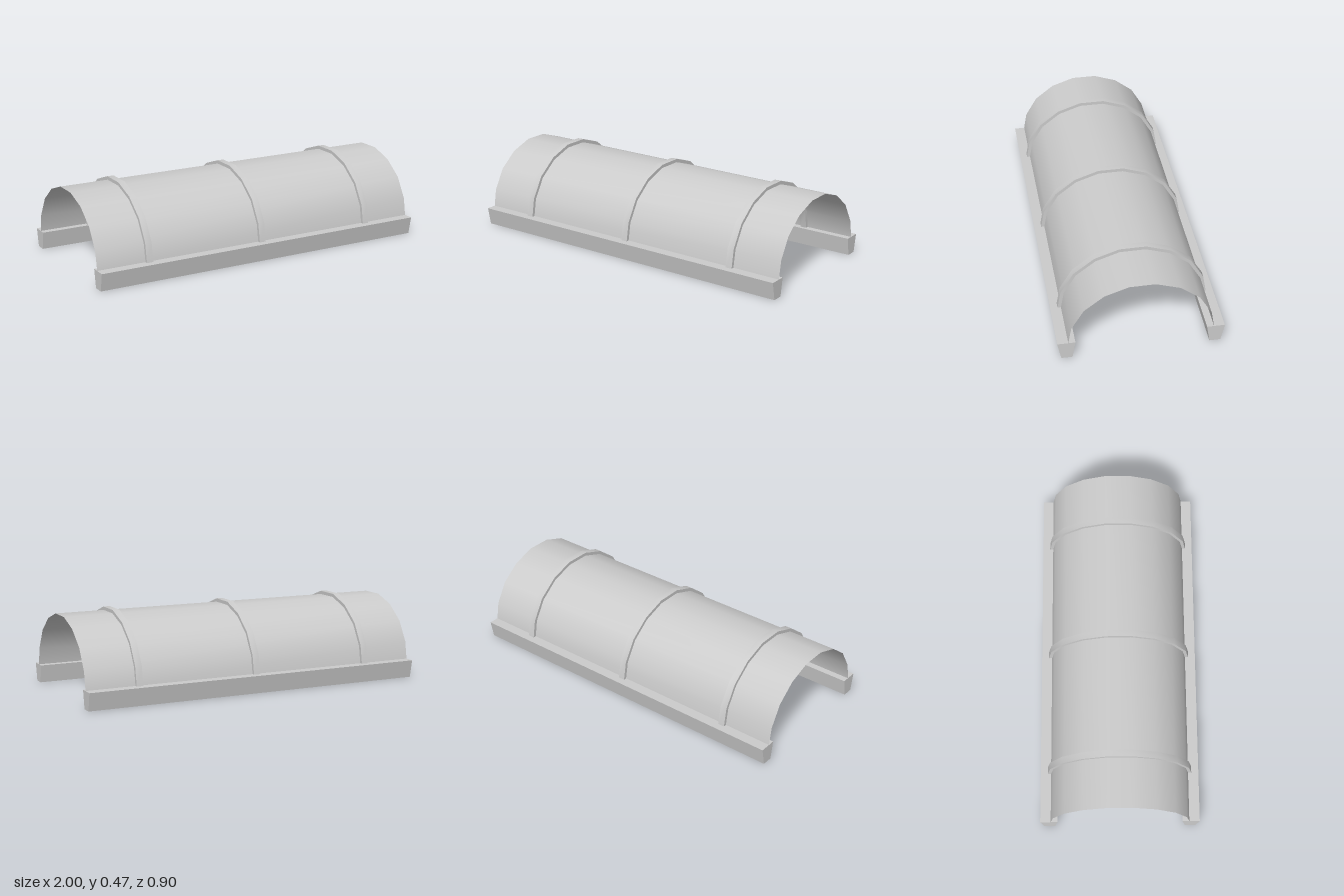
import * as THREE from 'three';
import { toCreasedNormals } from 'three/addons/utils/BufferGeometryUtils.js';

const LENGTH = 2;

// Half of the arch, foot to crown, as [z, y]; mirrored to make the full arch
const OUTER = [[0.41, 0.1], [0.391, 0.208], [0.32, 0.329], [0.207, 0.418], [0.072, 0.465]];
const INNER = [[0.373, 0.1], [0.356, 0.197], [0.293, 0.305], [0.193, 0.384], [0.067, 0.427]];

const mirrored = (half) => [...half, ...half.map(([z, y]) => [-z, y]).reverse()];

// Extrudes a [z, y] outline along x, centred on x = 0
function extrudeAlongX(points, width) {
  const shape = new THREE.Shape(points.map(([z, y]) => new THREE.Vector2(-z, y)));
  const geo = new THREE.ExtrudeGeometry(shape, { depth: width, bevelEnabled: false });
  return geo.translate(0, 0, -width / 2).rotateY(Math.PI / 2);
}

// Thin open sheet following the middle of the arch
function canopySheet() {
  const arch = mirrored(OUTER.map(([z, y], i) => [(z + INNER[i][0]) / 2, (y + INNER[i][1]) / 2]));
  const positions = [];
  const indices = [];
  arch.forEach(([z, y], i) => {
    positions.push(-LENGTH / 2, y, z, LENGTH / 2, y, z);
    if (i > 0) {
      const a = 2 * (i - 1);
      indices.push(a, a + 1, a + 3, a, a + 3, a + 2);
    }
  });
  const geo = new THREE.BufferGeometry();
  geo.setAttribute('position', new THREE.Float32BufferAttribute(positions, 3));
  geo.setIndex(indices);
  geo.computeVertexNormals();
  return geo;
}

export function createModel() {
  const group = new THREE.Group();
  group.name = 'archedCanopy';
  const grey = new THREE.MeshStandardMaterial({ color: 0xcccccc });
  const sheetGrey = new THREE.MeshStandardMaterial({ color: 0xcccccc, side: THREE.DoubleSide });

  const add = (name, geo, material = grey, x = 0) => {
    const mesh = new THREE.Mesh(geo, material);
    mesh.name = name;
    mesh.position.x = x;
    group.add(mesh);
  };

  // Curved roof
  add('canopy', canopySheet(), sheetGrey);

  // Three ribs standing proud of both faces of the roof
  const ribOutline = [...mirrored(OUTER), ...mirrored(INNER).reverse()];
  const ribGeo = toCreasedNormals(extrudeAlongX(ribOutline, 0.038), 0.6);
  [-0.7, 0, 0.7].forEach((x) => add('rib', ribGeo, grey, x));

  // Tapered rails along both feet
  for (const [name, s] of [['frontRail', 1], ['backRail', -1]]) {
    const outline = [[0.37, 0], [0.43, 0], [0.45, 0.102], [0.353, 0.102]];
    add(name, extrudeAlongX(outline.map(([z, y]) => [s * z, y]), LENGTH));
  }
  return group;
}
